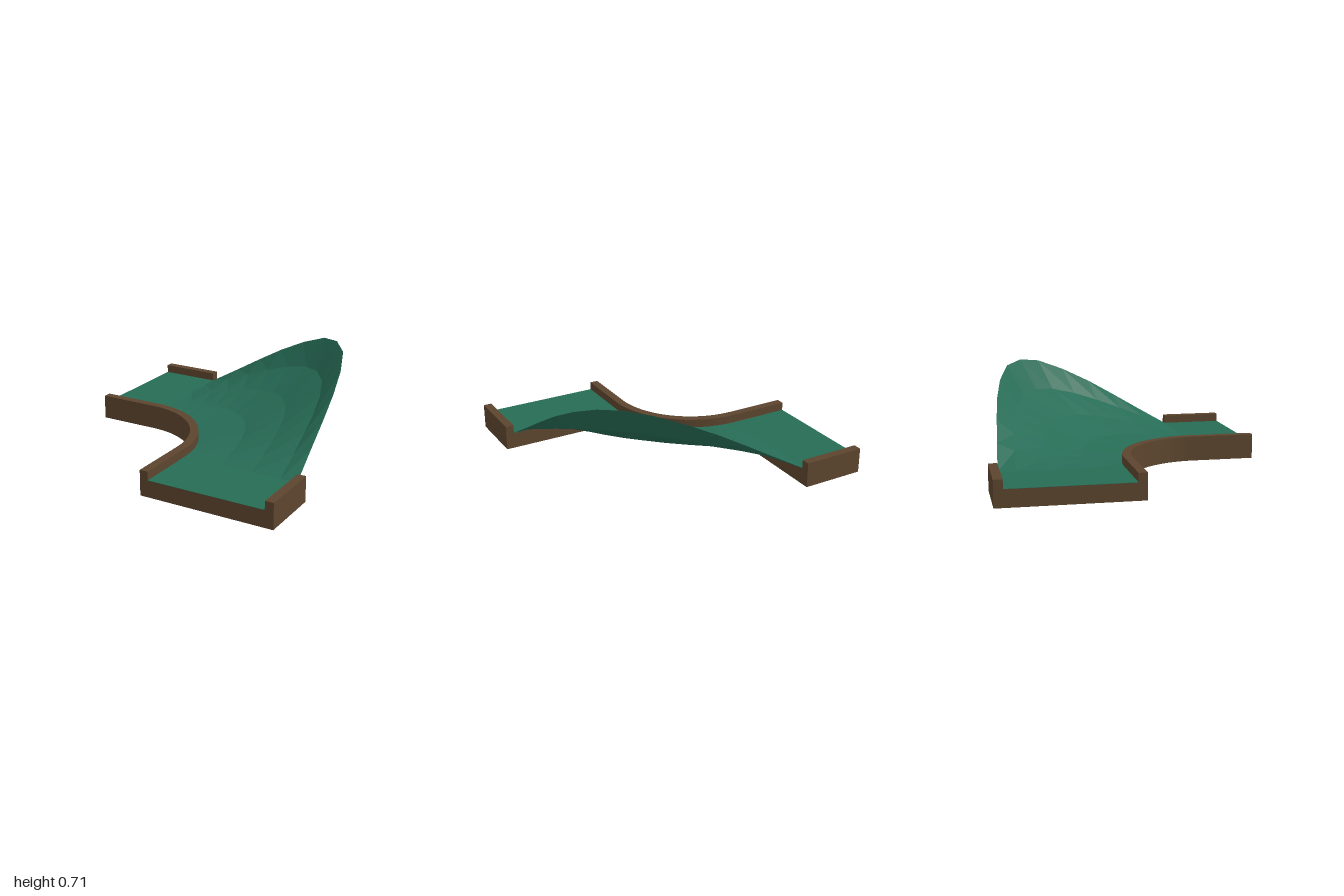
import * as THREE from 'three';

const TURN = 0.55;      // the bend turns about (-TURN, TURN)
const DECK = 0.12;      // height of the playing surface
const WALL = 0.18;      // height of the kerbs
const STEPS = 12;       // segments round the bend

export function createModel() {
  const model = new THREE.Group();
  model.name = 'bankedCorner';

  const wood = new THREE.MeshStandardMaterial({ color: 0x5c452e });
  wood.name = 'brown wood';
  const turf = new THREE.MeshStandardMaterial({ color: 0x276c56, side: THREE.DoubleSide, flatShading: true });
  turf.name = 'green turf';

  const add = (name, geometry, material) => {
    const mesh = new THREE.Mesh(geometry, material);
    mesh.name = name;
    model.add(mesh);
    return mesh;
  };
  // Box given by its limits; the second arm swaps x and z with a sign change
  const box = (name, x0, x1, y0, y1, z0, z1, material, swap) => {
    if (swap) [x0, x1, z0, z1] = [-z1, -z0, -x1, -x0];
    const g = new THREE.BoxGeometry(x1 - x0, y1 - y0, z1 - z0);
    g.translate((x0 + x1) / 2, (y0 + y1) / 2, (z0 + z1) / 2);
    add(name, g, material);
  };

  // Two straight ends: base, turf and outer kerb
  for (const swap of [false, true]) {
    const side = swap ? 'front' : 'side';
    box(side + 'Base', -1, -TURN, 0, DECK - 0.002, -0.94, -0.098, wood, swap);
    box(side + 'Turf', -1, -TURN, DECK - 0.002, DECK, -0.94, -0.098, turf, swap);
    box(side + 'OuterKerb', -1, -TURN, 0, WALL, -1, -0.94, wood, swap);
  }

  // Inner kerb following both straights and the bend (drawn with -z up)
  const kerb = new THREE.Shape();
  kerb.moveTo(-1, 0.038);
  kerb.lineTo(-TURN, 0.038);
  kerb.absarc(-TURN, -TURN, TURN + 0.038, Math.PI / 2, 0, true);
  kerb.lineTo(0.038, -1);
  kerb.lineTo(0.098, -1);
  kerb.lineTo(0.098, -TURN);
  kerb.absarc(-TURN, -TURN, TURN + 0.098, 0, Math.PI / 2, false);
  kerb.lineTo(-1, 0.098);
  kerb.closePath();
  const kerbGeo = new THREE.ExtrudeGeometry(kerb, { depth: WALL, bevelEnabled: false, curveSegments: STEPS });
  kerbGeo.rotateX(-Math.PI / 2);
  add('innerKerb', kerbGeo, wood);

  // Rim of the bank up to the middle of the bend: x, y, z; then mirrored
  const half = [
    [-0.55, 0.12, -0.94], [-0.31, 0.26, -0.92], [-0.1, 0.385, -0.905], [0.1, 0.5, -0.885],
    [0.31, 0.605, -0.845], [0.51, 0.685, -0.775], [0.66, 0.71, -0.66],
  ];
  const rim = half.concat(half.slice(0, -1).reverse().map(([x, y, z]) => [-z, y, -x]));

  // Cross-section of the bank: share of the way out, share of the rise
  const section = [[0, 0], [0.33, 0.1], [0.61, 0.32], [0.86, 0.63], [1, 1]];
  const positions = [];
  const index = [];
  rim.forEach(([rx, ry, rz], i) => {
    const a = (i / STEPS) * Math.PI / 2;
    const ix = -TURN + (TURN + 0.098) * Math.sin(a);
    const iz = TURN - (TURN + 0.098) * Math.cos(a);
    section.forEach(([out, rise], j) => {
      positions.push(ix + (rx - ix) * out, DECK + (ry - DECK) * rise, iz + (rz - iz) * out);
      if (i < STEPS && j < section.length - 1) {
        const p = i * section.length + j;
        const q = p + section.length;
        index.push(p, q, p + 1, q, q + 1, p + 1);
      }
    });
  });
  const bank = new THREE.BufferGeometry();
  bank.setAttribute('position', new THREE.Float32BufferAttribute(positions, 3));
  bank.setIndex(index);
  bank.computeVertexNormals();
  add('bankedTurf', bank, turf);

  return model;
}
